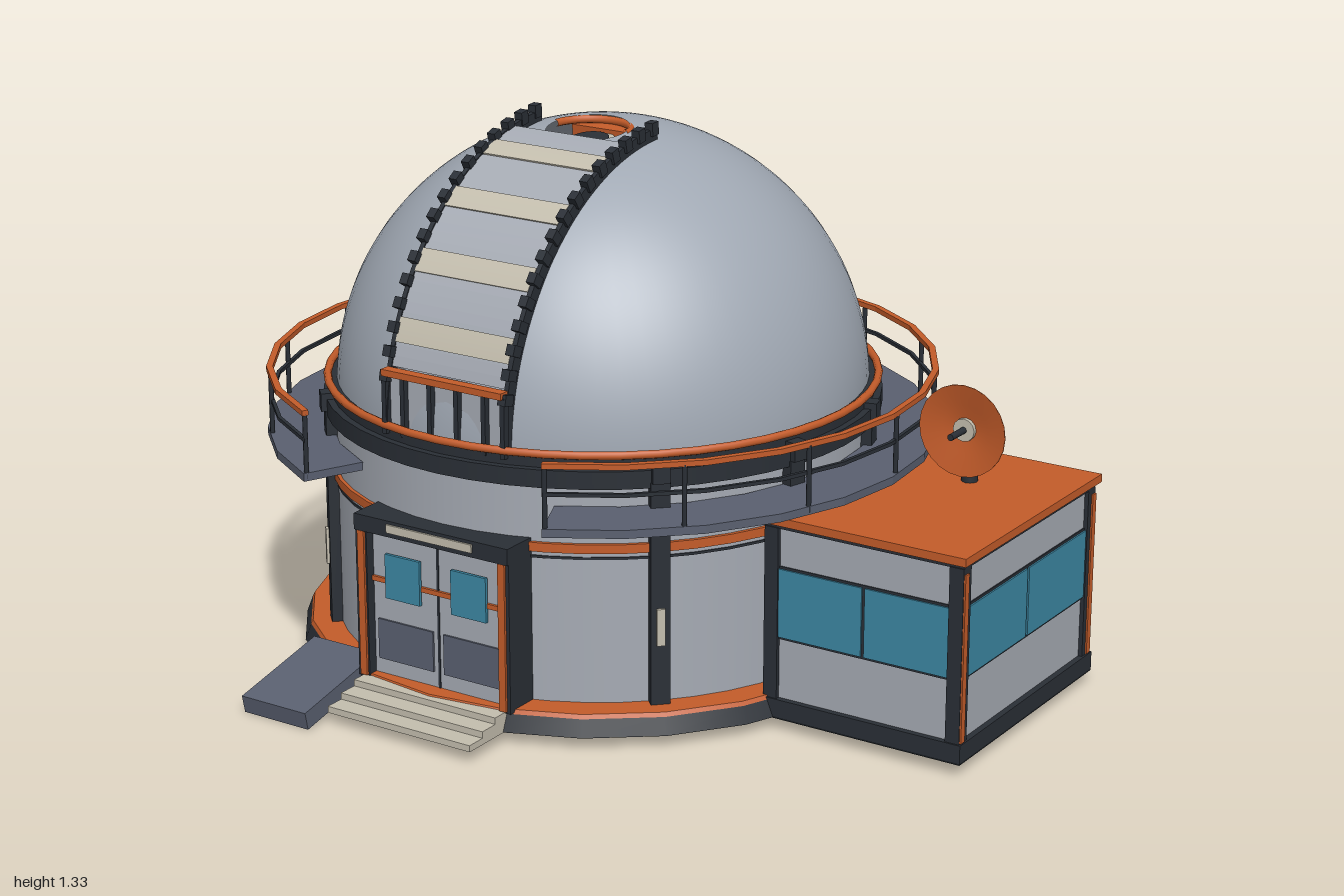
import * as THREE from 'three';

const mat = (name, color, side = THREE.FrontSide) => {
  const m = new THREE.MeshStandardMaterial({ color, side });
  m.name = name;
  return m;
};
const M = {
  shell: mat('dome grey', 0xa0a8b3, THREE.DoubleSide),
  wall: mat('wall grey', 0xa6abb4),
  slate: mat('slate', 0x5a6070),
  dark: mat('dark steel', 0x2a2f36),
  black: mat('black underside', 0x171b1f),
  orange: mat('burnt orange', 0xc45c2a),
  cream: mat('cream', 0xc4beae),
  glass: mat('teal glass', 0x3c87a3),
};
const CX = -0.175, CZ = -0.04, SPRING = 0.66, R = 0.65;
const rad = THREE.MathUtils.degToRad;

function add(parent, name, geo, material, x = 0, y = 0, z = 0) {
  const mesh = new THREE.Mesh(geo, material);
  mesh.name = name;
  mesh.position.set(x, y, z);
  parent.add(mesh);
  return mesh;
}
const box = (p, name, m, x0, x1, y0, y1, z0, z1) =>
  add(p, name, new THREE.BoxGeometry(x1 - x0, y1 - y0, z1 - z0), m, (x0 + x1) / 2, (y0 + y1) / 2, (z0 + z1) / 2);
function group(parent, name, x = 0, y = 0, z = 0) {
  const g = new THREE.Group();
  g.name = name;
  g.position.set(x, y, z);
  parent.add(g);
  return g;
}
// flat sector of a ring, angles in degrees
function sector(r0, r1, a0, a1, depth, segs) {
  const s = new THREE.Shape();
  s.absarc(0, 0, r1, rad(a0), rad(a1), false);
  s.absarc(0, 0, r0, rad(a1), rad(a0), true);
  s.closePath();
  return new THREE.ExtrudeGeometry(s, { depth, bevelEnabled: false, curveSegments: segs });
}
// horizontal ring band open at the front
const GAP = 24.4;
const deckRing = (p, name, m, r0, r1, y, h) =>
  add(p, name, sector(r0, r1, -90 + GAP, 270 - GAP, h, 12).rotateX(-Math.PI / 2), m, 0, y, 0);
// closed round band
const band = (p, name, m, rTop, rBottom, y0, y1, segs = 48) =>
  add(p, name, new THREE.CylinderGeometry(rTop, rBottom, y1 - y0, segs), m, 0, (y0 + y1) / 2, 0);

function buildDrum(root) {
  const g = group(root, 'drum', CX, 0, CZ);
  band(g, 'plinth', M.dark, 0.735, 0.75, 0.032, 0.072, 24);
  band(g, 'plinthTrim', M.orange, 0.73, 0.735, 0.072, 0.082, 24);
  band(g, 'underside', M.black, 0.748, 0.748, 0.03, 0.034, 24);
  band(g, 'pierFoot', M.slate, 0.08, 0.08, 0.025, 0.032, 24);
  band(g, 'drumWall', M.wall, 0.66, 0.66, 0.08, 0.62);
  band(g, 'wallBand', M.orange, 0.669, 0.669, 0.452, 0.474);
  band(g, 'wallBandLine', M.dark, 0.663, 0.663, 0.435, 0.441);
  band(g, 'cornice', M.dark, 0.682, 0.682, 0.612, 0.655);
  band(g, 'domeTrack', M.dark, 0.665, 0.665, 0.655, 0.685);
  const ring = new THREE.TorusGeometry(0.672, 0.01, 8, 48).rotateX(Math.PI / 2);
  add(g, 'domeRing', ring, M.orange, 0, 0.69, 0);

  // pilasters with lamps, leaving out the two at the doorway
  for (let i = 1; i < 11; i++) {
    const p = group(g, 'pilaster');
    p.rotation.y = rad(15 + 30 * i);
    box(p, 'pilasterPost', M.dark, -0.023, 0.023, 0.08, 0.625, 0.64, 0.685);
    box(p, 'pilasterCap', M.dark, -0.02, 0.02, 0.625, 0.67, 0.66, 0.695);
    box(p, 'wallLamp', M.cream, -0.01, 0.01, 0.23, 0.32, 0.68, 0.692);
  }
}

function buildWalkway(root) {
  const g = group(root, 'walkway', CX, 0, CZ);
  deckRing(g, 'deck', M.slate, 0.665, 0.82, 0.545, 0.02);
  deckRing(g, 'midRail', M.dark, 0.806, 0.815, 0.64, 0.009);
  deckRing(g, 'topRail', M.orange, 0.803, 0.819, 0.706, 0.013);
  for (let i = 0; i <= 14; i++) {
    const a = rad(GAP + 0.4 + i * (360 - 2 * GAP - 0.8) / 14);
    add(g, 'railPost', new THREE.CylinderGeometry(0.006, 0.006, 0.16, 6), M.dark,
      Math.sin(a) * 0.81, 0.63, Math.cos(a) * 0.81);
  }
}

function buildDome(root) {
  const g = group(root, 'dome', CX, SPRING, CZ);
  // shell with a round opening just in front of the crown
  const shell = new THREE.SphereGeometry(R, 64, 40, 0, Math.PI * 2, 0.155, rad(98) - 0.155);
  add(g, 'domeShell', shell.rotateX(0.095), M.shell);

  // curved shutter panels and side rails that follow the dome
  const arc = (name, m, r0, r1, a0, a1, x, w, segs) => {
    const geo = sector(r0, r1, a0, a1, w, segs).translate(0, 0, -w / 2).rotateY(-Math.PI / 2);
    add(g, name, geo, m, x, 0, 0);
  };
  arc('shutter', M.wall, 0.62, 0.653, 15, 78, 0, 0.32, 14);
  [22.6, 37.5, 53, 68.5].forEach(a => arc('shutterBand', M.cream, 0.64, 0.657, a - 2.6, a + 2.6, 0, 0.32, 3));
  for (const s of [-1, 1]) {
    arc('shutterRail', M.dark, 0.61, 0.656, 2, 88, s * 0.166, 0.012, 16);
    for (let i = 0; i < 16; i++) {
      const a = rad(13 + i * 4.9);
      const tooth = add(g, 'railTooth', new THREE.BoxGeometry(0.022, 0.026, 0.032), M.dark,
        s * 0.168, Math.sin(a) * 0.657, Math.cos(a) * 0.657);
      tooth.rotation.x = -a;
    }
  }

  // gate at the foot of the shutter
  box(g, 'gatePanel', M.wall, -0.16, 0.16, 0.01, 0.16, 0.6, 0.64);
  box(g, 'gateRail', M.orange, -0.17, 0.17, 0.152, 0.168, 0.635, 0.662);
  for (const x of [-0.168, -0.115, -0.038, 0.038, 0.115, 0.168])
    box(g, 'gatePost', M.dark, x - 0.006, x + 0.006, 0.01, 0.155, 0.638, 0.656);

  // telescope under the opening
  const t = group(g, 'telescope', 0, 0.5, 0.03);
  t.rotation.x = 0.1;
  add(t, 'tube', new THREE.CylinderGeometry(0.06, 0.06, 0.4, 24), M.cream, 0, -0.09, 0.01);
  add(t, 'lens', new THREE.CylinderGeometry(0.045, 0.045, 0.006, 24), M.dark, 0, 0.113, 0.01);
  box(t, 'telescopeSaddle', M.orange, -0.09, 0.09, 0.08, 0.12, -0.085, -0.045);
  const lip = new THREE.TorusGeometry(0.1, 0.01, 8, 24, Math.PI).rotateX(-Math.PI / 2);
  add(g, 'openingLip', lip, M.orange, 0, 0.636, 0.055);

  // two short rods on the side
  for (const z of [-0.04, 0.04])
    add(g, 'sideRod', new THREE.CylinderGeometry(0.004, 0.004, 0.07, 6), M.dark, -0.605, 0.255, z);
}

function buildEntrance(root) {
  const g = group(root, 'entrance', CX, 0, 0);
  box(g, 'lintel', M.dark, -0.22, 0.22, 0.442, 0.482, 0.56, 0.675);
  box(g, 'sign', M.cream, -0.122, 0.122, 0.454, 0.474, 0.67, 0.68);
  box(g, 'doorHandleBar', M.orange, -0.19, 0.19, 0.314, 0.326, 0.64, 0.652);
  box(g, 'doorGap', M.dark, -0.003, 0.003, 0.08, 0.442, 0.64, 0.647);
  for (const s of [-1, 1]) {
    const side = (name, m, a, b, ...r) => box(g, name, m, Math.min(s * a, s * b), Math.max(s * a, s * b), ...r);
    side('jamb', M.dark, 0.188, 0.22, 0.075, 0.445, 0.56, 0.67);
    side('jambStrip', M.orange, 0.192, 0.211, 0.08, 0.442, 0.665, 0.676);
    side('door', M.wall, 0, 0.188, 0.08, 0.442, 0.58, 0.645);
    side('doorWindow', M.glass, 0.045, 0.145, 0.28, 0.39, 0.65, 0.658);
    side('kickPlate', M.slate, 0.015, 0.175, 0.12, 0.22, 0.643, 0.65);
  }
  for (let i = 0; i < 3; i++)
    box(g, 'step', M.cream, -0.205, 0.205, 0.03 + i * 0.016, 0.046 + i * 0.016, 0.64, 0.81 - i * 0.05);
  const ramp = add(root, 'ramp', new THREE.BoxGeometry(0.19, 0.045, 0.28), M.slate, -0.495, 0.0512, 0.728);
  ramp.rotation.x = rad(12);
}

function buildAnnex(root) {
  const g = group(root, 'annex');
  box(g, 'annexBase', M.dark, 0.46, 0.995, 0.034, 0.078, -0.4, 0.265);
  box(g, 'annexUnderside', M.black, 0.46, 0.995, 0.03, 0.034, -0.4, 0.265);
  box(g, 'annexWall', M.wall, 0.48, 0.98, 0.078, 0.51, -0.385, 0.25);
  box(g, 'annexRoof', M.orange, 0.44, 1, 0.51, 0.53, -0.405, 0.272);
  box(g, 'roofTrim', M.dark, 0.47, 0.99, 0.498, 0.511, -0.388, 0.258);
  for (const [x, z] of [[0.492, 0.243], [0.972, 0.243], [0.972, -0.376]])
    box(g, 'cornerPost', M.dark, x - 0.018, x + 0.018, 0.078, 0.5, z - 0.018, z + 0.018);
  for (const z of [0.25, -0.383])
    box(g, 'cornerStrip', M.orange, 0.985, 0.994, 0.08, 0.485, z - 0.009, z + 0.009);

  // front and side windows, each in two panes
  box(g, 'frontFrame', M.dark, 0.505, 0.96, 0.225, 0.405, 0.248, 0.253);
  for (const [a, b] of [[0.51, 0.729], [0.737, 0.957]])
    box(g, 'frontPane', M.glass, a, b, 0.231, 0.399, 0.25, 0.257);
  box(g, 'sideFrame', M.dark, 0.978, 0.983, 0.225, 0.405, -0.365, 0.24);
  for (const [a, b] of [[-0.36, -0.068], [-0.06, 0.233]])
    box(g, 'sidePane', M.glass, 0.98, 0.987, 0.231, 0.399, a, b);

  // rooftop dish
  const d = group(g, 'dish', 0.76, 0.665, -0.15);
  const lathe = pts => new THREE.LatheGeometry(pts.map(p => new THREE.Vector2(...p)), 24).rotateX(Math.PI / 2);
  add(d, 'dishBack', lathe([[0, -0.035], [0.05, -0.028], [0.09, -0.012], [0.112, 0]]), M.cream);
  add(d, 'dishFace', lathe([[0.112, 0], [0.112, 0.005], [0.06, -0.01], [0, -0.018]]), M.orange);
  const rod = (name, m, r, len, z) =>
    add(d, name, new THREE.CylinderGeometry(r, r, len, 12).rotateX(Math.PI / 2), m, 0, 0, z);
  rod('dishHub', M.cream, 0.028, 0.012, -0.01);
  rod('feed', M.dark, 0.008, 0.12, 0);
  add(d, 'mast', new THREE.CylinderGeometry(0.014, 0.02, 0.14, 12), M.dark, 0, -0.068, -0.042);
}

export function createModel() {
  const root = new THREE.Group();
  root.name = 'observatory';
  buildDrum(root);
  buildWalkway(root);
  buildDome(root);
  buildEntrance(root);
  buildAnnex(root);
  return root;
}
